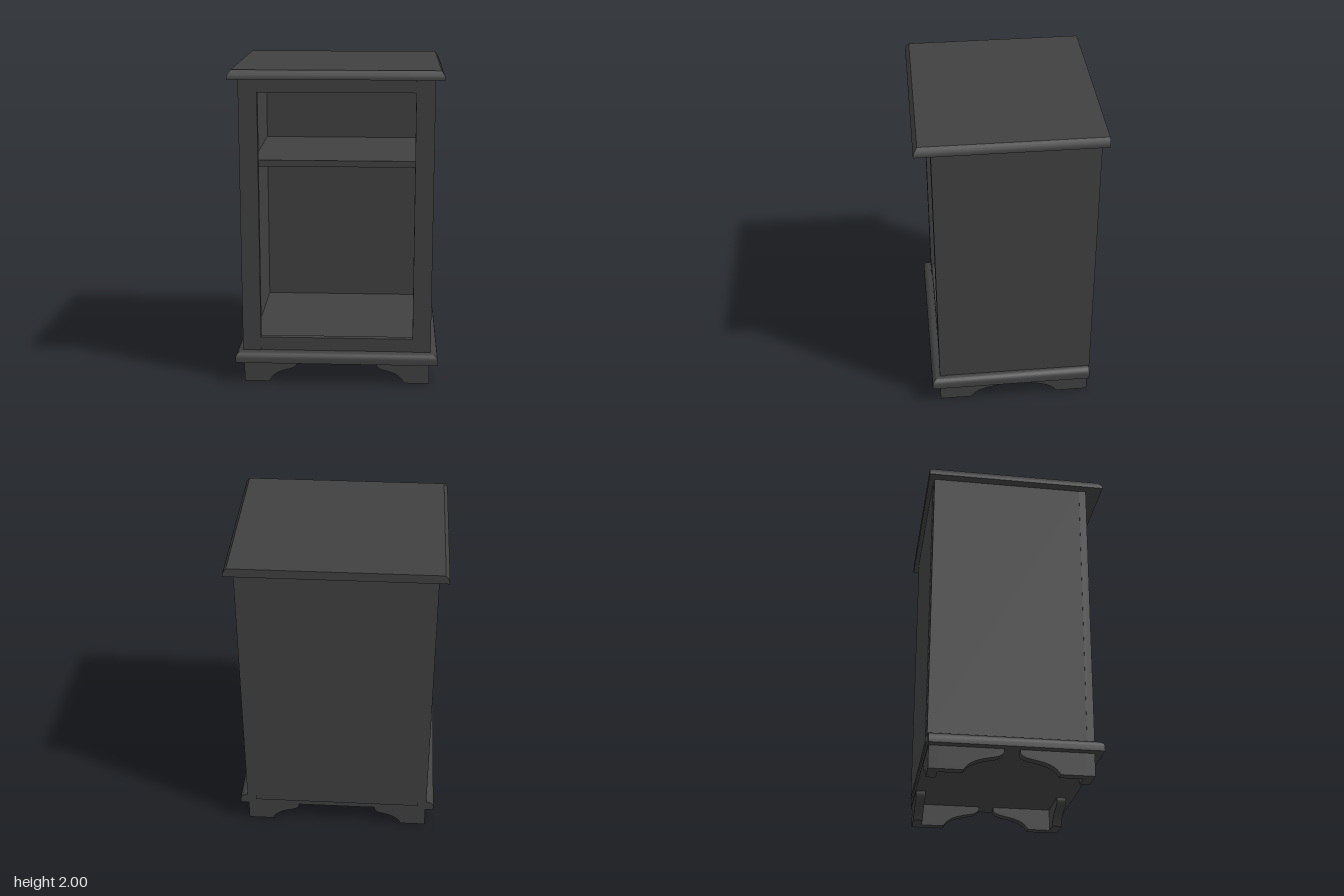
import * as THREE from 'three';
import { toCreasedNormals } from 'three/addons/utils/BufferGeometryUtils.js';

const material = new THREE.MeshStandardMaterial({ color: 0x404040 });

function add(parent, name, geometry) {
  const mesh = new THREE.Mesh(geometry, material);
  mesh.name = name;
  parent.add(mesh);
  return mesh;
}

// Box given by its extents on each axis
function board(parent, name, [x0, x1], [y0, y1], [z0, z1]) {
  const mesh = add(parent, name, new THREE.BoxGeometry(x1 - x0, y1 - y0, z1 - z0));
  mesh.position.set((x0 + x1) / 2, (y0 + y1) / 2, (z0 + z1) / 2);
  return mesh;
}

// Slab moulded on its front and sides, flat at the back; profile is [inset, y] from bottom to top
function mouldedSlab(halfWidth, front, back, profile) {
  const rings = profile.map(([inset, y]) => {
    const w = halfWidth - inset, f = front - inset;
    return [[-w, y, f], [w, y, f], [w, y, back], [-w, y, back]];
  });
  const positions = [];
  const quad = (a, b, c, d) => positions.push(...a, ...b, ...c, ...a, ...c, ...d);
  for (let i = 0; i < rings.length - 1; i++) {
    for (let k = 0; k < 4; k++) {
      const n = (k + 1) % 4;
      quad(rings[i][k], rings[i][n], rings[i + 1][n], rings[i + 1][k]);
    }
  }
  quad(...rings[rings.length - 1]);
  quad(...[...rings[0]].reverse());
  const geometry = new THREE.BufferGeometry();
  geometry.setAttribute('position', new THREE.Float32BufferAttribute(positions, 3));
  geometry.computeVertexNormals();
  return toCreasedNormals(geometry, 0.6);
}

// Bracket foot outline: straight outer end, scooped inner edge rising to a small step
function bracket(start, foot, reach, thickness) {
  const shape = new THREE.Shape();
  shape.moveTo(start, 0);
  shape.lineTo(foot, 0);
  const span = reach - foot;
  shape.bezierCurveTo(foot + span * 0.12, 0.055, foot + span * 0.4, 0.07, foot + span * 0.68, 0.083);
  shape.quadraticCurveTo(reach, 0.095, reach, 0.125);
  shape.lineTo(reach, 0.14);
  shape.lineTo(start, 0.14);
  shape.closePath();
  const geometry = new THREE.ExtrudeGeometry(shape, { depth: thickness, bevelEnabled: false, curveSegments: 10 });
  return toCreasedNormals(geometry, 0.6);
}

export function createModel() {
  const model = new THREE.Group();
  model.name = 'cabinet';

  // Top and base mouldings
  add(model, 'top', mouldedSlab(0.65, 0.56, -0.56,
    [[0, 1.945], [0, 1.958], [0.006, 1.972], [0.014, 1.985], [0.025, 2]]));
  add(model, 'baseMoulding', mouldedSlab(0.64, 0.51, -0.52,
    [[0, 0.14], [0, 0.172], [0.004, 0.184], [0.012, 0.195], [0.024, 0.204], [0.04, 0.21]]));

  // Carcass: sides and front stiles
  for (const s of [-1, 1]) {
    const span = (a, b) => (s > 0 ? [a, b] : [-b, -a]);
    const side = s > 0 ? 'left' : 'right';
    board(model, side + 'SidePanel', span(0.527, 0.592), [0.21, 1.945], [-0.525, 0.42]);
    board(model, side + 'Stile', span(0.48, 0.595), [0.21, 1.945], [0.415, 0.46]);
  }
  board(model, 'backPanel', [-0.535, 0.535], [0.18, 1.945], [-0.53, -0.52]);

  // Rails, floor and shelf
  board(model, 'topRail', [-0.48, 0.48], [1.855, 1.945], [0.415, 0.455]);
  board(model, 'bottomRail', [-0.48, 0.48], [0.21, 0.295], [0.415, 0.455]);
  board(model, 'floor', [-0.527, 0.527], [0.21, 0.275], [-0.52, 0.415]);
  board(model, 'shelf', [-0.527, 0.527], [1.37, 1.41], [-0.52, 0.31]);

  // Four bracket feet, each of two boards meeting at the corner
  const T = 0.06, halfWidth = 0.588, front = 0.46, back = -0.515;
  const across = bracket(0, 0.16, 0.335, T);
  const along = bracket(T, 0.205, 0.44, T);
  for (const [zName, z, inward] of [['front', front, -1], ['back', back, 1]]) {
    for (const s of [-1, 1]) {
      const foot = new THREE.Group();
      foot.name = zName + (s > 0 ? 'Left' : 'Right') + 'Foot';
      foot.position.set(s * halfWidth, 0, z);
      foot.scale.set(-s, 1, inward);
      add(foot, 'crossBracket', across);
      // Swap x and z to lay the second board along the side
      const sideBracket = add(foot, 'sideBracket', along);
      sideBracket.rotation.y = -Math.PI / 2;
      sideBracket.position.x = T;
      model.add(foot);
    }
  }
  return model;
}
